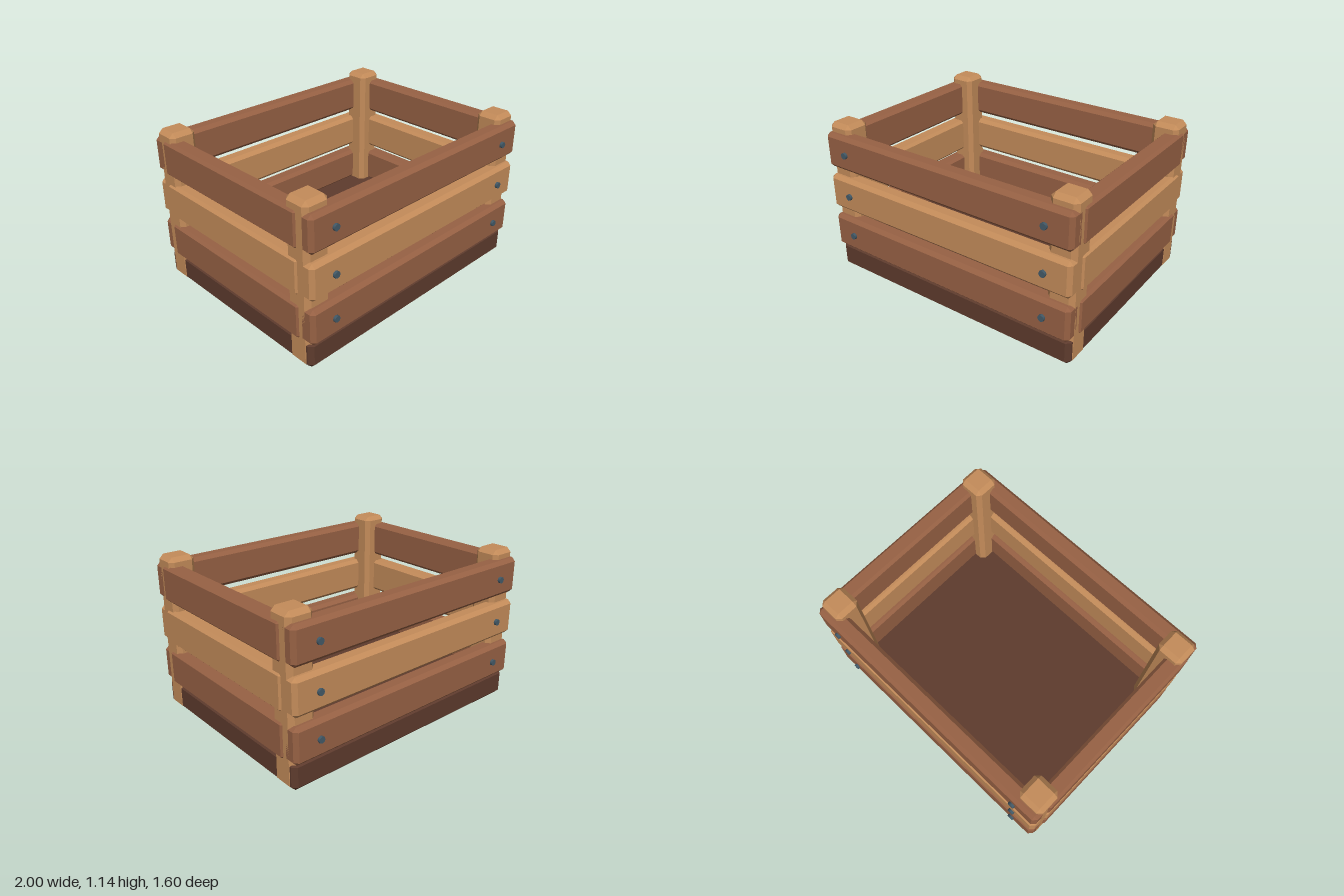
import * as THREE from 'three';
import { ConvexGeometry } from 'three/addons/geometries/ConvexGeometry.js';

const paint = (name, color) => {
  const m = new THREE.MeshStandardMaterial({ color });
  m.name = name;
  return m;
};

// Box with flat chamfers on every edge
function chamferBox(w, h, d, c) {
  const points = [];
  for (const sx of [-1, 1]) for (const sy of [-1, 1]) for (const sz of [-1, 1]) {
    const x = w / 2, y = h / 2, z = d / 2;
    points.push(
      new THREE.Vector3(sx * x, sy * (y - c), sz * (z - c)),
      new THREE.Vector3(sx * (x - c), sy * y, sz * (z - c)),
      new THREE.Vector3(sx * (x - c), sy * (y - c), sz * z));
  }
  return new ConvexGeometry(points);
}

export function createModel() {
  const lightWood = paint('light wood', 0xc48c5a);
  const brownWood = paint('brown wood', 0x976144);
  const darkWood = paint('dark wood', 0x5e3b2d);
  const steel = paint('blue steel', 0x435a68);

  const crate = new THREE.Group();
  crate.name = 'crate';
  const add = (name, geometry, material, x, y, z) => {
    const mesh = new THREE.Mesh(geometry, material);
    mesh.name = name;
    mesh.position.set(x, y, z);
    crate.add(mesh);
    return mesh;
  };

  // Solid floor slab
  add('base', chamferBox(1.97, 0.2, 1.51, 0.03), darkWood, 0, 0.1, 0);

  // Corner posts
  const post = chamferBox(0.19, 1.14, 0.185, 0.03);
  for (const sx of [-1, 1]) for (const sz of [-1, 1])
    add('cornerPost', post, lightWood, sx * 0.893, 0.57, sz * 0.648);

  // Three rows of slats on all four sides, with bolts on the long sides
  const longSlat = chamferBox(1.976, 0.256, 0.12, 0.026);
  const shortSlat = chamferBox(0.12, 0.256, 1.334, 0.02);
  const bolt = new THREE.CylinderGeometry(0.023, 0.023, 0.03, 8);
  bolt.rotateX(Math.PI / 2);
  [0.318, 0.633, 0.948].forEach((y, row) => {
    const wood = row === 1 ? lightWood : brownWood;
    for (const s of [-1, 1]) {
      add(s > 0 ? 'frontSlat' : 'backSlat', longSlat, wood, 0, y, s * 0.722);
      add(s > 0 ? 'leftSlat' : 'rightSlat', shortSlat, wood, s * 0.94, y, 0);
      for (const sx of [-1, 1]) add('bolt', bolt, steel, sx * 0.805, y, s * 0.785);
    }
  });
  return crate;
}
